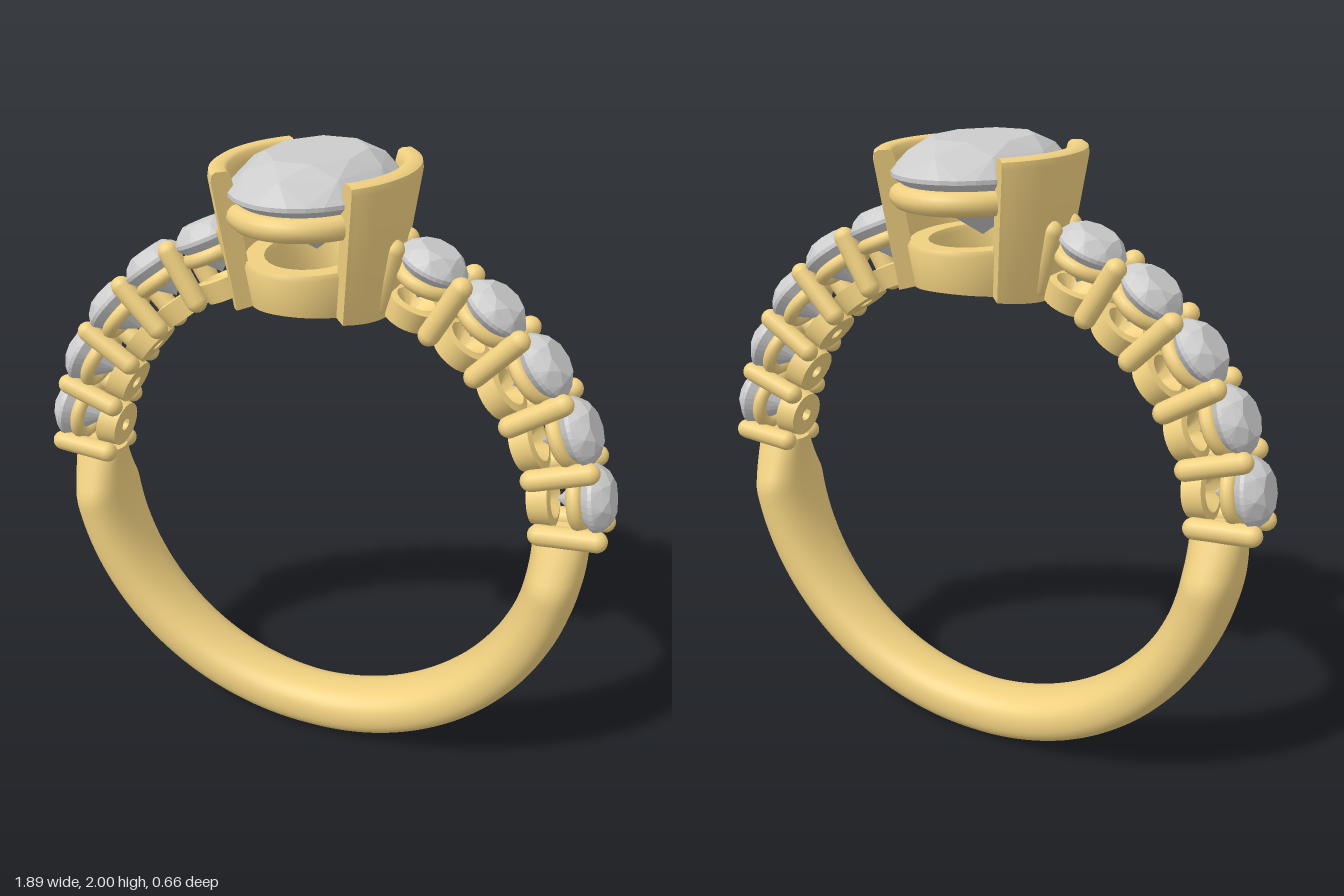
import * as THREE from 'three';
import { toCreasedNormals } from 'three/addons/utils/BufferGeometryUtils.js';
import { ConvexGeometry } from 'three/addons/geometries/ConvexGeometry.js';

const CY = 0.88, INNER = 0.71; // centre height and radius of the finger hole
const rad = THREE.MathUtils.degToRad;
const V = (x, y, z) => new THREE.Vector3(x, y, z);

const gold = new THREE.MeshStandardMaterial({ color: 0xf0d080 });
const stoneMat = new THREE.MeshStandardMaterial({ color: 0xcccccc, flatShading: true });

function add(parent, name, geometry, material = gold) {
  const mesh = new THREE.Mesh(geometry, material);
  mesh.name = name;
  parent.add(mesh);
  return mesh;
}

// Skin a row of closed cross-sections, with optional flat ends
function loft(rings, capped, crease) {
  const n = rings[0].length, pos = [], idx = [];
  rings.forEach(r => r.forEach(p => pos.push(p.x, p.y, p.z)));
  for (let i = 0; i < rings.length - 1; i++) {
    for (let j = 0; j < n; j++) {
      const a = i * n + j, b = i * n + (j + 1) % n;
      idx.push(a, a + n, b, a + n, b + n, b);
    }
  }
  if (capped) {
    [0, rings.length - 1].forEach((i, end) => {
      const c = V(0, 0, 0);
      rings[i].forEach(p => c.addScaledVector(p, 1 / n));
      const ci = pos.length / 3;
      pos.push(c.x, c.y, c.z);
      for (let j = 0; j < n; j++) {
        const a = i * n + j, b = i * n + (j + 1) % n;
        if (end) idx.push(ci, b, a); else idx.push(ci, a, b);
      }
    });
  }
  const g = new THREE.BufferGeometry();
  g.setAttribute('position', new THREE.Float32BufferAttribute(pos, 3));
  g.setIndex(idx);
  return toCreasedNormals(g, crease);
}

// Plain lower band: wide at the shoulders, slim at the bottom and the two tips
function shankGeometry() {
  const rings = [], steps = 96, start = rad(175.5), sweep = rad(189);
  for (let i = 0; i <= steps; i++) {
    const t = start + sweep * i / steps;
    const h = Math.sin(t) * 0.8; // height relative to the centre
    const w = h > -0.11
      ? THREE.MathUtils.mapLinear(h, 0.063, -0.11, 0.068, 0.145)
      : 0.1 + 0.045 * Math.pow((h + 0.8) / 0.69, 0.6);
    const ring = [];
    for (let j = 0; j < 32; j++) {
      const p = j / 32 * Math.PI * 2, c = Math.cos(p), s = Math.sin(p);
      const r = 0.794 + 0.084 * Math.sign(c) * Math.pow(Math.abs(c), 0.85);
      const z = w * Math.sign(s) * Math.pow(Math.abs(s), 0.85);
      ring.push(V(Math.cos(t) * r, CY + Math.sin(t) * r, z));
    }
    rings.push(ring);
  }
  return loft(rings, true, 0.6);
}

// Oval wall: profile of [x radius, z radius, y]; without y it rests on the finger hole
function ovalWall(profile, a0, a1, steps, capped) {
  const rings = [];
  for (let i = 0; i <= steps; i++) {
    const a = a0 + (a1 - a0) * i / steps;
    rings.push(profile.map(([rx, rz, y]) => {
      const x = rx * Math.cos(a);
      return V(x, y ?? CY + Math.sqrt(0.705 ** 2 - x * x), rz * Math.sin(a));
    }));
  }
  return loft(rings, capped, 0.7);
}

// Brilliant cut with the girdle at y = 0
function gemGeometry(rx, rz, crown, pavilion) {
  const pts = [V(0, -pavilion, 0)];
  const ring = (n, r, y, turn) => {
    for (let i = 0; i < n; i++) {
      const a = (i + turn) / n * Math.PI * 2;
      pts.push(V(Math.cos(a) * rx * r, y, Math.sin(a) * rz * r));
    }
  };
  ring(8, 0.58, crown, 0.5);
  ring(8, 0.82, crown * 0.64, 0);
  ring(32, 1, 0.004, 0);
  ring(32, 1, -0.008, 0);
  ring(8, 0.6, -pavilion * 0.46, 0.5);
  return new ConvexGeometry(pts);
}

export function createModel() {
  const model = new THREE.Group();
  model.name = 'ring';
  add(model, 'shank', shankGeometry());

  // Shoulders: five small stones a side, with pairs of prongs between them
  const prongGeo = new THREE.CapsuleGeometry(0.033, 0.172, 6, 14);
  const gemGeo = gemGeometry(0.105, 0.105, 0.048, 0.12);
  const collarGeo = new THREE.TorusGeometry(0.078, 0.023, 10, 28).rotateX(Math.PI / 2);
  const cupGeo = toCreasedNormals(new THREE.LatheGeometry(
    [[0.022, 0.71], [0.075, 0.71], [0.084, 0.775], [0.06, 0.78], [0.022, 0.74], [0.022, 0.71]]
      .map(([r, y]) => new THREE.Vector2(r, y)), 28), 0.6);
  const step = 13.8, first = 4.5;

  for (const side of [1, -1]) {
    const shoulder = new THREE.Group();
    shoulder.name = side > 0 ? 'leftShoulder' : 'rightShoulder';
    model.add(shoulder);
    const station = (name, degrees) => {
      const g = new THREE.Group();
      g.name = name;
      g.position.y = CY;
      g.rotation.z = side * (rad(degrees) - Math.PI / 2);
      shoulder.add(g);
      return g;
    };
    for (let k = 0; k <= 5; k++) {
      const pair = station('prongPair', first + step * k);
      for (const z of [-0.065, 0.065]) add(pair, 'prong', prongGeo).position.set(0, 0.824, z);
    }
    for (let k = 0; k < 5; k++) {
      const setting = station('sideSetting', first + step * (k + 0.5));
      add(setting, 'sideStone', gemGeo, stoneMat).position.y = 0.905;
      add(setting, 'collar', collarGeo).position.y = 0.852;
      add(setting, 'cup', cupGeo);
    }
  }

  // Head: oval stone on a base ring and gallery rail, held by two curved walls
  const head = new THREE.Group();
  head.name = 'head';
  model.add(head);
  add(head, 'centreStone', gemGeometry(0.24, 0.33, 0.09, 0.2), stoneMat).position.y = 1.91;

  const oval = [];
  for (let i = 0; i < 24; i++) {
    const a = i / 24 * Math.PI * 2;
    oval.push(V(0.215 * Math.cos(a), 1.845, 0.295 * Math.sin(a)));
  }
  add(head, 'galleryRail', new THREE.TubeGeometry(new THREE.CatmullRomCurve3(oval, true), 72, 0.035, 12, true));

  add(head, 'baseRing', ovalWall([
    [0.195, 0.268, 1.71], [0.202, 0.275, 1.695], [0.182, 0.25], [0.125, 0.19],
    [0.135, 0.2, 1.695], [0.142, 0.207, 1.71],
  ], 0, Math.PI * 2, 64, false));

  const wall = [
    [0.282, 0.352, 1.972], [0.293, 0.363, 1.965], [0.296, 0.367, 1.945], [0.236, 0.292],
    [0.175, 0.23], [0.233, 0.302, 1.94], [0.24, 0.31, 1.965], [0.25, 0.32, 1.972],
  ];
  for (const turn of [0, Math.PI]) {
    add(head, turn ? 'rightWall' : 'leftWall', ovalWall(wall, rad(-46), rad(46), 32, true)).rotation.y = turn;
  }
  return model;
}
